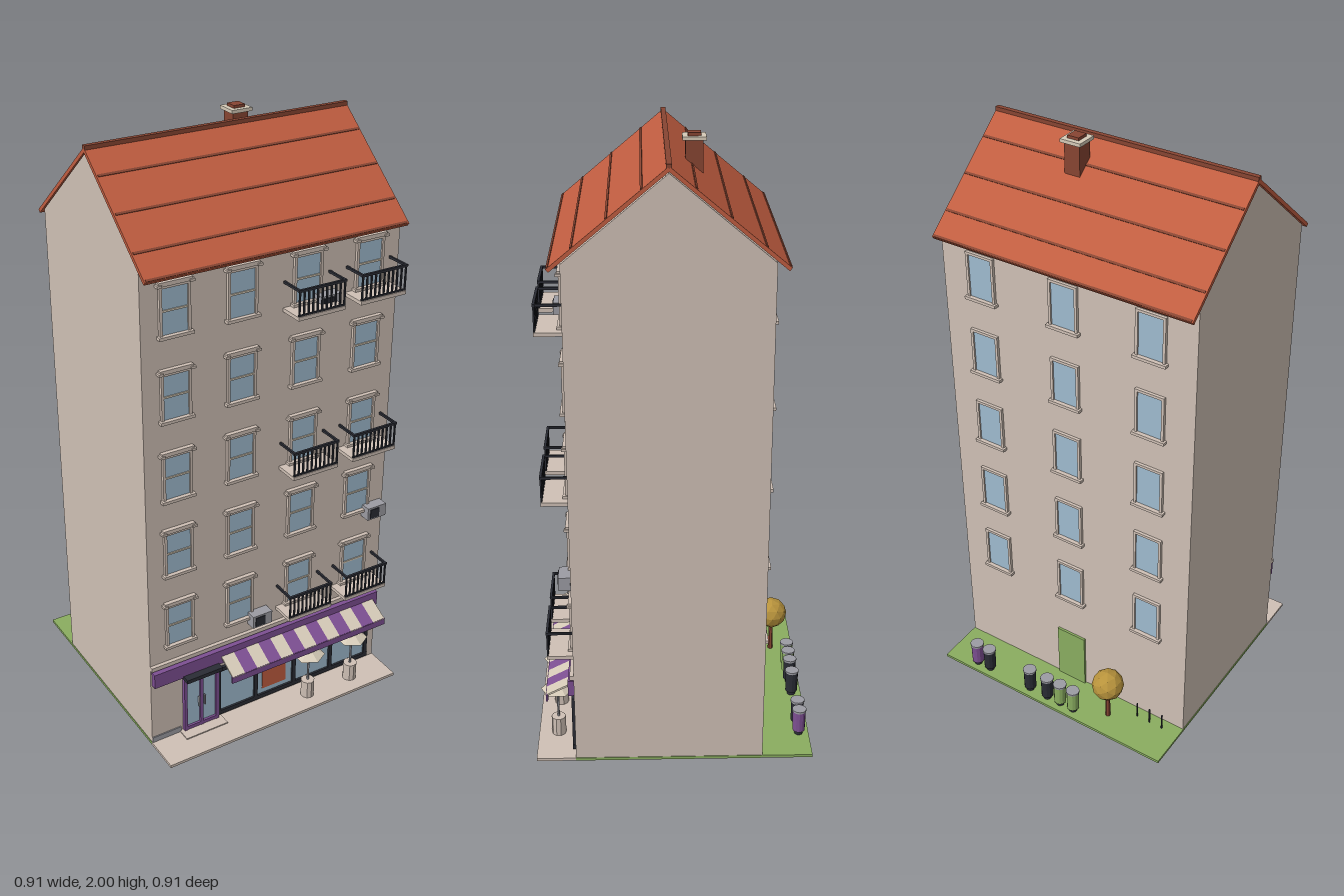
import * as THREE from 'three';

const mat = (name, color, double) => {
  const m = new THREE.MeshStandardMaterial({ color, flatShading: true });
  m.name = name;
  if (double) m.side = THREE.DoubleSide;
  return m;
};

export function createModel() {
  const M = {
    wall: mat('wall plaster', 0xcfc0b5),
    cream: mat('cream', 0xd6cbb8),
    glass: mat('window glass', 0x9fbbcf),
    tile: mat('roof tile', 0xc05d40),
    brick: mat('dark brick', 0x874532),
    dark: mat('dark metal', 0x2a2c34),
    purple: mat('shop purple', 0x7d4f92),
    green: mat('grass green', 0x8aad60),
    gold: mat('autumn leaf', 0xb8933c),
    grey: mat('light metal', 0x9c9ca3),
  };
  const model = new THREE.Group();
  const add = (parent, name, geo, material, x = 0, y = 0, z = 0) => {
    const m = new THREE.Mesh(geo, material);
    m.name = name;
    m.position.set(x, y, z);
    parent.add(m);
    return m;
  };
  const box = (parent, name, material, w, h, d, x, y, z) =>
    add(parent, name, new THREE.BoxGeometry(w, h, d), material, x, y, z);
  // box given by its limits
  const span = (parent, name, material, x0, x1, y0, y1, z0, z1) =>
    box(parent, name, material, x1 - x0, y1 - y0, z1 - z0, (x0 + x1) / 2, (y0 + y1) / 2, (z0 + z1) / 2);
  const cyl = (parent, name, material, r0, r1, y0, y1, x, z, n = 12) =>
    add(parent, name, new THREE.CylinderGeometry(r1, r0, y1 - y0, n), material, x, (y0 + y1) / 2, z);
  // sloping plate between two points in the side profile
  const slope = (parent, name, material, w, t, x, z0, y0, z1, y1) => {
    const m = box(parent, name, material, w, t, Math.hypot(z1 - z0, y1 - y0), x, (y0 + y1) / 2, (z0 + z1) / 2);
    m.rotation.x = Math.atan2(y0 - y1, z1 - z0);
    return m;
  };
  const group = (name, x = 0, y = 0, z = 0) => {
    const g = new THREE.Group();
    g.name = name;
    g.position.set(x, y, z);
    model.add(g);
    return g;
  };

  const F = 0.327, B = -0.29, RZ = 0.018;   // front wall, back wall, ridge

  // Ground
  span(model, 'lawn', M.green, -0.457, 0.457, 0, 0.01, -0.457, F);
  span(model, 'pavement', M.wall, -0.457, 0.457, 0, 0.01, F, 0.457);

  // Walls with gables
  const profile = new THREE.Shape([[B, 0.01], [F, 0.01], [F, 1.695], [RZ, 1.952], [B, 1.695]]
    .map(([z, y]) => new THREE.Vector2(z, y)));
  const walls = new THREE.ExtrudeGeometry(profile, { depth: 0.91, bevelEnabled: false });
  walls.rotateY(-Math.PI / 2).translate(0.455, 0, 0);
  add(model, 'walls', walls, M.wall);

  // Roof with batten lines and ridge
  const roof = group('roof');
  const roofY = d => 1.964 - 0.83 * d;
  for (const s of [1, -1]) {
    const at = d => [RZ + s * d, roofY(d)];
    const ends = (a, b) => (s > 0 ? [...at(a), ...at(b)] : [...at(b), ...at(a)]);
    slope(roof, 'roof slope', M.tile, 0.914, 0.012, 0, ...ends(0, 0.346));
    for (const d of [0.073, 0.173, 0.273, 0.342]) {
      const b = slope(roof, 'roof batten', M.brick, 0.905, 0.006, 0, ...ends(d, d + 0.006));
      b.position.y += 0.007;
    }
  }
  box(roof, 'ridge cap', M.brick, 0.914, 0.014, 0.016, 0, 1.971, RZ);

  // Chimney
  const chimney = group('chimney', 0.102, 0, -0.065);
  span(chimney, 'shaft', M.brick, -0.027, 0.027, 1.87, 1.98, -0.027, 0.027);
  span(chimney, 'cap', M.cream, -0.036, 0.036, 1.98, 1.991, -0.036, 0.036);
  span(chimney, 'pot', M.brick, -0.02, 0.02, 1.991, 2, -0.02, 0.02);

  // Windows; each group faces +z and its origin is the bottom of the glass
  const W = 0.086, H = 0.147;
  const makeWindow = (x, y, front) => {
    const g = group(front ? 'frontWindow' : 'backWindow', x, y, front ? F : B);
    if (!front) g.rotation.y = Math.PI;
    box(g, 'glass', M.glass, W, H, 0.005, 0, H / 2, 0.002);
    for (const s of [1, -1]) box(g, 'jamb', M.wall, 0.009, H + 0.012, 0.01, s * (W / 2 + 0.004), H / 2, 0.005);
    box(g, 'head', M.wall, W + 0.016, 0.009, 0.01, 0, H + 0.004, 0.005);
    box(g, 'sill', M.wall, 0.116, 0.01, 0.018, 0, -0.004, 0.009);
    if (front) {
      box(g, 'middle bar', M.cream, W, 0.006, 0.008, 0, H * 0.52, 0.004);
      box(g, 'lintel', M.wall, 0.112, 0.013, 0.014, 0, H + 0.014, 0.007);
      for (const s of [1, -1]) box(g, 'lintel end', M.wall, 0.016, 0.008, 0.018, s * 0.054, H + 0.01, 0.009);
    }
  };
  // Balconies
  const makeBalcony = (x, y) => {
    const g = group('balcony', x, y, F);
    box(g, 'slab', M.wall, 0.17, 0.012, 0.085, 0, -0.014, 0.0425);
    box(g, 'front rail', M.dark, 0.172, 0.008, 0.008, 0, 0.075, 0.082);
    box(g, 'bottom rail', M.dark, 0.168, 0.005, 0.005, 0, -0.004, 0.082);
    for (let i = 0; i < 11; i++)
      box(g, 'bar', M.dark, 0.005, 0.08, 0.005, -0.081 + i * 0.0162, 0.035, 0.082);
    for (const s of [1, -1]) box(g, 'side rail', M.dark, 0.007, 0.008, 0.084, s * 0.0815, 0.075, 0.042);
  };
  const columns = [-0.345, -0.118, 0.113, 0.341];
  for (let f = 0; f < 5; f++) {
    const y = 0.393 + f * 0.2745;
    columns.forEach(x => makeWindow(x, y, true));
    [-0.302, 0.003, 0.308].forEach(x => makeWindow(x, y, false));
    if (f % 2 === 0) columns.slice(2).forEach(x => makeBalcony(x, y));
  }

  // Air conditioners
  for (const [x, y] of [[0.178, 1.483], [0.406, 0.658], [-0.048, 0.383]]) {
    const g = group('airConditioner', x, y, F);
    box(g, 'case', M.grey, 0.074, 0.046, 0.038, 0, 0, 0.02);
    box(g, 'fan grille', M.dark, 0.036, 0.034, 0.004, -0.01, 0, 0.04);
  }

  // Shop front
  const shop = group('shopFront');
  span(shop, 'string course', M.wall, -0.455, 0.455, 0.312, 0.327, F, 0.34);
  span(shop, 'fascia', M.purple, -0.45, 0.447, 0.248, 0.302, F, 0.347);
  span(shop, 'plinth', M.grey, -0.455, -0.345, 0.01, 0.03, F, 0.331);
  span(shop, 'shop glass', M.glass, -0.2, 0.42, 0.035, 0.215, F, 0.331);
  span(shop, 'bottom frame', M.dark, -0.206, 0.424, 0.022, 0.038, F, 0.338);
  span(shop, 'top frame', M.dark, -0.206, 0.424, 0.205, 0.22, F, 0.338);
  for (const x of [-0.2, -0.052, 0.105, 0.26, 0.415])
    box(shop, 'mullion', M.dark, 0.014, 0.19, 0.011, x, 0.12, F + 0.0055);
  span(shop, 'poster', M.tile, -0.024, 0.072, 0.058, 0.18, 0.331, 0.334);

  // Striped awning
  for (let i = 0; i < 13; i++)
    slope(shop, 'awning stripe', i % 2 ? M.purple : M.cream, 0.048, 0.006, -0.173 + i * 0.048, F, 0.284, 0.42, 0.236);
  span(shop, 'valance', M.purple, -0.199, 0.429, 0.214, 0.24, 0.414, 0.42);

  // Double door with step and canopy
  const door = group('shopDoor', -0.27, 0, F);
  span(door, 'door glass', M.glass, -0.062, 0.062, 0.02, 0.23, 0, 0.006);
  for (const x of [-0.061, 0, 0.061]) box(door, 'door post', M.purple, 0.011, 0.225, 0.014, x, 0.125, 0.007);
  for (const y of [0.022, 0.231]) box(door, 'door rail', M.purple, 0.13, 0.013, 0.014, 0, y, 0.007);
  for (const s of [1, -1]) box(door, 'handle', M.grey, 0.004, 0.04, 0.008, s * 0.011, 0.12, 0.015);
  span(door, 'canopy', M.dark, -0.073, 0.063, 0.24, 0.254, 0, 0.046);
  span(door, 'step', M.wall, -0.08, 0.08, 0.004, 0.014, 0, 0.05);

  // Tables with parasols
  for (const x of [0.128, 0.309]) {
    const g = group('parasolTable', x, 0, 0.39);
    cyl(g, 'table', M.wall, 0.024, 0.024, 0.01, 0.075, 0, 0, 10);
    cyl(g, 'pole', M.grey, 0.004, 0.004, 0.07, 0.2, 0, 0, 6);
    add(g, 'parasol', new THREE.ConeGeometry(0.056, 0.03, 6), M.cream, 0, 0.2, 0);
  }

  // Back yard: door, bins, posts, tree
  span(model, 'backDoor', M.green, -0.05, 0.062, 0.01, 0.225, B - 0.008, B);
  const bins = [[0.335, M.purple], [0.28, M.dark], [0.1, M.dark], [0.025, M.dark], [-0.03, M.green], [-0.085, M.green]];
  for (const [x, m] of bins) {
    const g = group('bin', x, 0, -0.423);
    cyl(g, 'bin foot', M.dark, 0.014, 0.014, 0.01, 0.027, 0, 0);
    cyl(g, 'bin body', m, 0.021, 0.022, 0.025, 0.1, 0, 0);
    cyl(g, 'bin lid', M.grey, 0.024, 0.024, 0.1, 0.107, 0, 0);
  }
  for (const x of [-0.29, -0.34, -0.39]) cyl(model, 'gardenPost', M.dark, 0.003, 0.003, 0.01, 0.072, x, -0.325, 6);
  const tree = group('tree', -0.201, 0, -0.376);
  cyl(tree, 'trunk', M.brick, 0.009, 0.007, 0.01, 0.13, 0, 0, 6);
  add(tree, 'crown', new THREE.IcosahedronGeometry(0.056, 1), M.gold, 0, 0.162, 0);

  return model;
}
